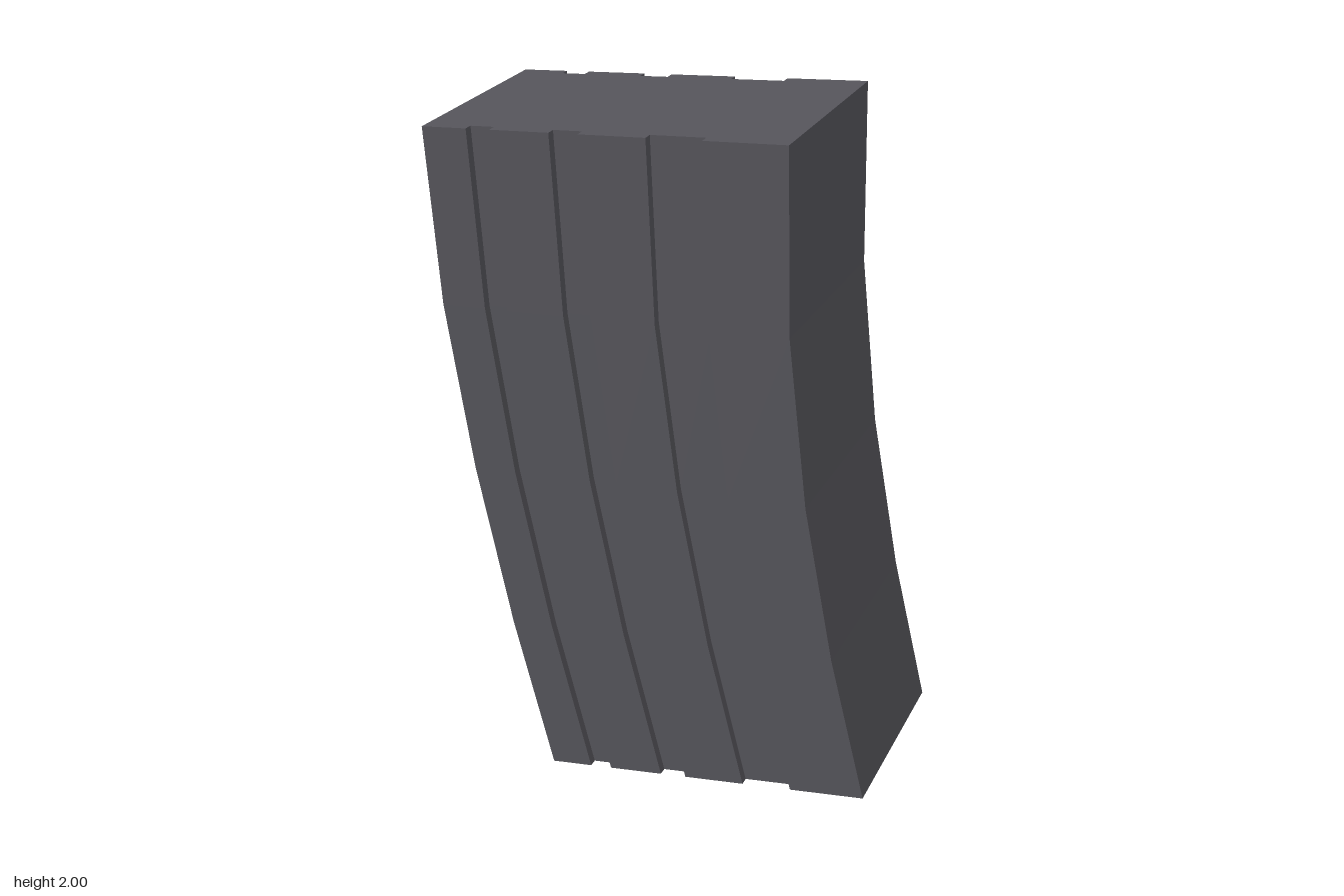
import * as THREE from 'three';

const HALF_DEPTH = 0.247, GROOVE_FLOOR = 0.225;

// Grooves as [start, end] fractions of the width, from -x to +x
const GROOVES = [[0.131, 0.2], [0.369, 0.45], [0.634, 0.782]];

// Curved sweep, bottom to top: [left x, left y, right x, right y]
const STATIONS = [
  [-0.34, 0.005, 0.61, 0.228],
  [-0.447, 0.475, 0.502, 0.65],
  [-0.535, 0.96, 0.415, 1.085],
  [-0.594, 1.43, 0.359, 1.535],
  [-0.613, 1.9, 0.343, 2.0],
];

// Grooved outline in (width fraction, z), counter-clockwise
function sectionOutline() {
  const back = [new THREE.Vector2(0, -HALF_DEPTH)];
  for (const [a, b] of GROOVES) {
    back.push(
      new THREE.Vector2(a, -HALF_DEPTH), new THREE.Vector2(a, -GROOVE_FLOOR),
      new THREE.Vector2(b, -GROOVE_FLOOR), new THREE.Vector2(b, -HALF_DEPTH));
  }
  back.push(new THREE.Vector2(1, -HALF_DEPTH));
  const front = back.map(p => new THREE.Vector2(p.x, -p.y)).reverse();
  return [...back, ...front];
}

function bodyGeometry() {
  const outline = sectionOutline(), n = outline.length;
  const positions = [], index = [];
  for (const [lx, ly, rx, ry] of STATIONS) {
    for (const p of outline) {
      positions.push(lx + (rx - lx) * p.x, ly + (ry - ly) * p.x, p.y);
    }
  }
  // Side walls between neighbouring stations
  for (let s = 0; s < STATIONS.length - 1; s++) {
    for (let i = 0; i < n; i++) {
      const a = s * n + i, b = s * n + (i + 1) % n;
      index.push(a, a + n, b, b, a + n, b + n);
    }
  }
  // Bottom and top caps
  const top = (STATIONS.length - 1) * n;
  for (const [a, b, c] of THREE.ShapeUtils.triangulateShape(outline, [])) {
    index.push(a, b, c, top + a, top + c, top + b);
  }
  const indexed = new THREE.BufferGeometry();
  indexed.setAttribute('position', new THREE.Float32BufferAttribute(positions, 3));
  indexed.setIndex(index);
  const geometry = indexed.toNonIndexed();
  geometry.computeVertexNormals(); // hard facets
  return geometry;
}

export function createModel() {
  const group = new THREE.Group();
  group.name = 'curvedMagazine';
  const darkGrey = new THREE.MeshStandardMaterial({ color: 0x55545a });
  darkGrey.name = 'dark grey';
  const body = new THREE.Mesh(bodyGeometry(), darkGrey);
  body.name = 'groovedBody';
  group.add(body);
  return group;
}
